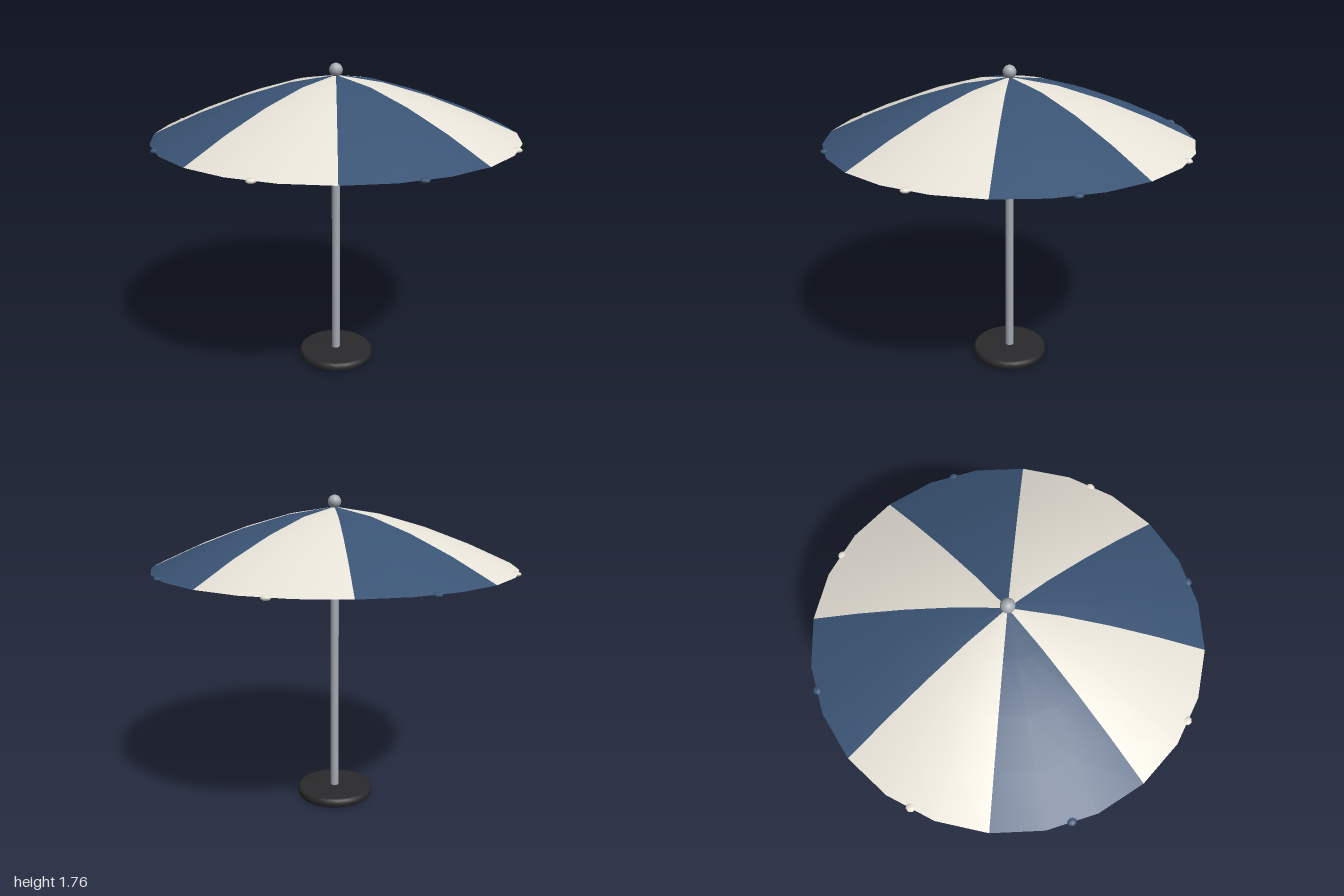
import * as THREE from 'three';

const material = (color, side = THREE.FrontSide) => new THREE.MeshStandardMaterial({ color, side });

export function createModel() {
  const group = new THREE.Group();
  group.name = 'parasol';

  const blue = material(0x3a5475, THREE.DoubleSide);
  const cream = material(0xe8e3d8, THREE.DoubleSide);
  const metal = material(0xa4a9b1);
  const black = material(0x2a2a2c);

  const add = (name, geometry, mat, x = 0, y = 0, z = 0) => {
    const mesh = new THREE.Mesh(geometry, mat);
    mesh.name = name;
    mesh.position.set(x, y, z);
    group.add(mesh);
    return mesh;
  };

  // Weighted foot: a disc with a softened rim
  const foot = [[0, 0], [0.205, 0], [0.216, 0.008], [0.22, 0.0275], [0.216, 0.047], [0.205, 0.055], [0, 0.055]];
  add('base', new THREE.LatheGeometry(foot.map(p => new THREE.Vector2(...p)), 24), black);

  // Pole, stopping a little short of the canopy's apex
  const bottom = 0.04, top = 1.53;
  add('pole', new THREE.CylinderGeometry(0.024, 0.024, top - bottom, 16), metal, 0, (top + bottom) / 2, 0);

  // Canopy profile from rim to apex
  const rimY = 1.375, rise = 0.32, rings = 4;
  const profile = [];
  for (let i = rings; i >= 0; i--) {
    const r = i / rings;
    profile.push(new THREE.Vector2(r, rimY + rise * (1 - r ** 1.5)));
  }

  // Eight alternating panels, each with a flattened bead at mid-rim
  const panels = 8, step = Math.PI * 2 / panels;
  const beadGeometry = new THREE.SphereGeometry(0.026, 8, 6);
  for (let i = 0; i < panels; i++) {
    const mat = i % 2 ? cream : blue;
    add('canopyPanel', new THREE.LatheGeometry(profile, 3, i * step, step), mat);
    const a = (i + 0.5) * step;
    const bead = add('rimBead', beadGeometry, mat, 0.985 * Math.sin(a), 1.372, 0.985 * Math.cos(a));
    bead.scale.y = 0.5;
    bead.rotation.y = a;
  }

  // Ball on top
  add('finial', new THREE.SphereGeometry(0.037, 16, 12), metal, 0, 1.722, 0);

  return group;
}
